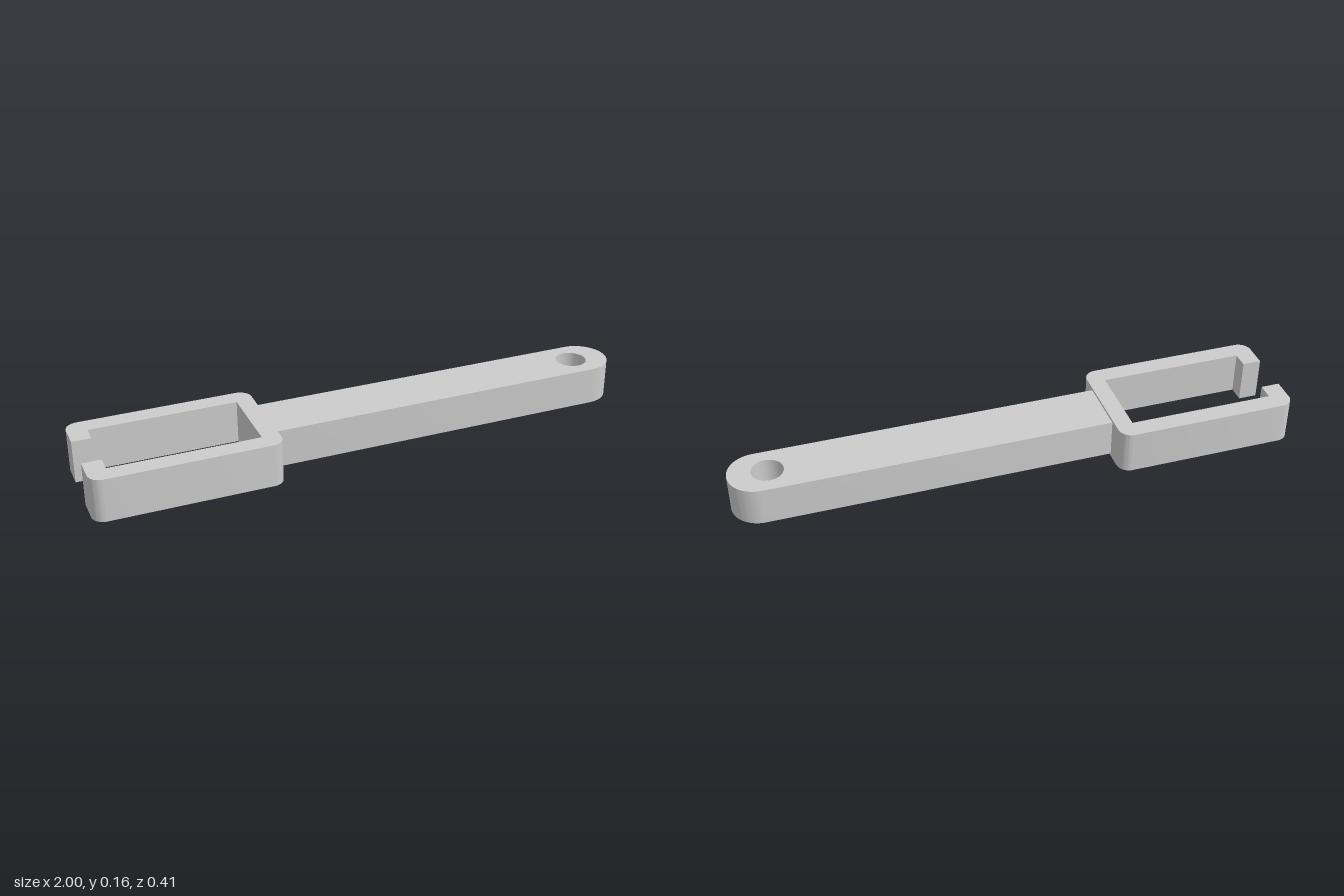
import * as THREE from 'three';
import { toCreasedNormals } from 'three/addons/utils/BufferGeometryUtils.js';

const material = new THREE.MeshStandardMaterial({ color: 0xcccccc });

// Extrudes a plan outline upward from y0 to y1
function slab(name, shape, y0, y1) {
  const flat = new THREE.ExtrudeGeometry(shape, { depth: y1 - y0, bevelEnabled: false, curveSegments: 16 });
  flat.rotateX(-Math.PI / 2).translate(0, y0, 0);
  const mesh = new THREE.Mesh(toCreasedNormals(flat, 0.5), material);
  mesh.name = name;
  return mesh;
}

// C-shaped clip frame with rounded outer corners and a slot in its end wall
function frameShape() {
  const l = -1, r = -0.342, w = 0.204, c = 0.045;
  const il = -0.932, ir = -0.404, iw = 0.136, gap = 0.076;
  const s = new THREE.Shape();
  s.moveTo(l, -gap);
  s.lineTo(l, -w + c);
  s.absarc(l + c, -w + c, c, Math.PI, Math.PI * 1.5);
  s.absarc(r - c, -w + c, c, -Math.PI / 2, 0);
  s.absarc(r - c, w - c, c, 0, Math.PI / 2);
  s.absarc(l + c, w - c, c, Math.PI / 2, Math.PI);
  s.lineTo(l, gap);
  s.lineTo(il, gap);
  s.lineTo(il, iw);
  s.lineTo(ir, iw);
  s.lineTo(ir, -iw);
  s.lineTo(il, -iw);
  s.lineTo(il, -gap);
  s.closePath();
  return s;
}

// Long arm with a rounded tip and a through hole
function armShape() {
  const l = -0.36, w = 0.103, c = 0.025;
  const s = new THREE.Shape();
  s.moveTo(l, w - c);
  s.absarc(l + c, -w + c, c, Math.PI, Math.PI * 1.5);
  s.absarc(1 - w, 0, w, -Math.PI / 2, Math.PI / 2);
  s.absarc(l + c, w - c, c, Math.PI / 2, Math.PI);
  const hole = new THREE.Path();
  hole.absarc(0.862, 0, 0.056, 0, Math.PI * 2, true);
  s.holes.push(hole);
  return s;
}

export function createModel() {
  const group = new THREE.Group();
  group.name = 'clipArm';
  group.add(slab('clipFrame', frameShape(), 0, 0.157));
  group.add(slab('arm', armShape(), 0.01, 0.148));
  return group;
}
